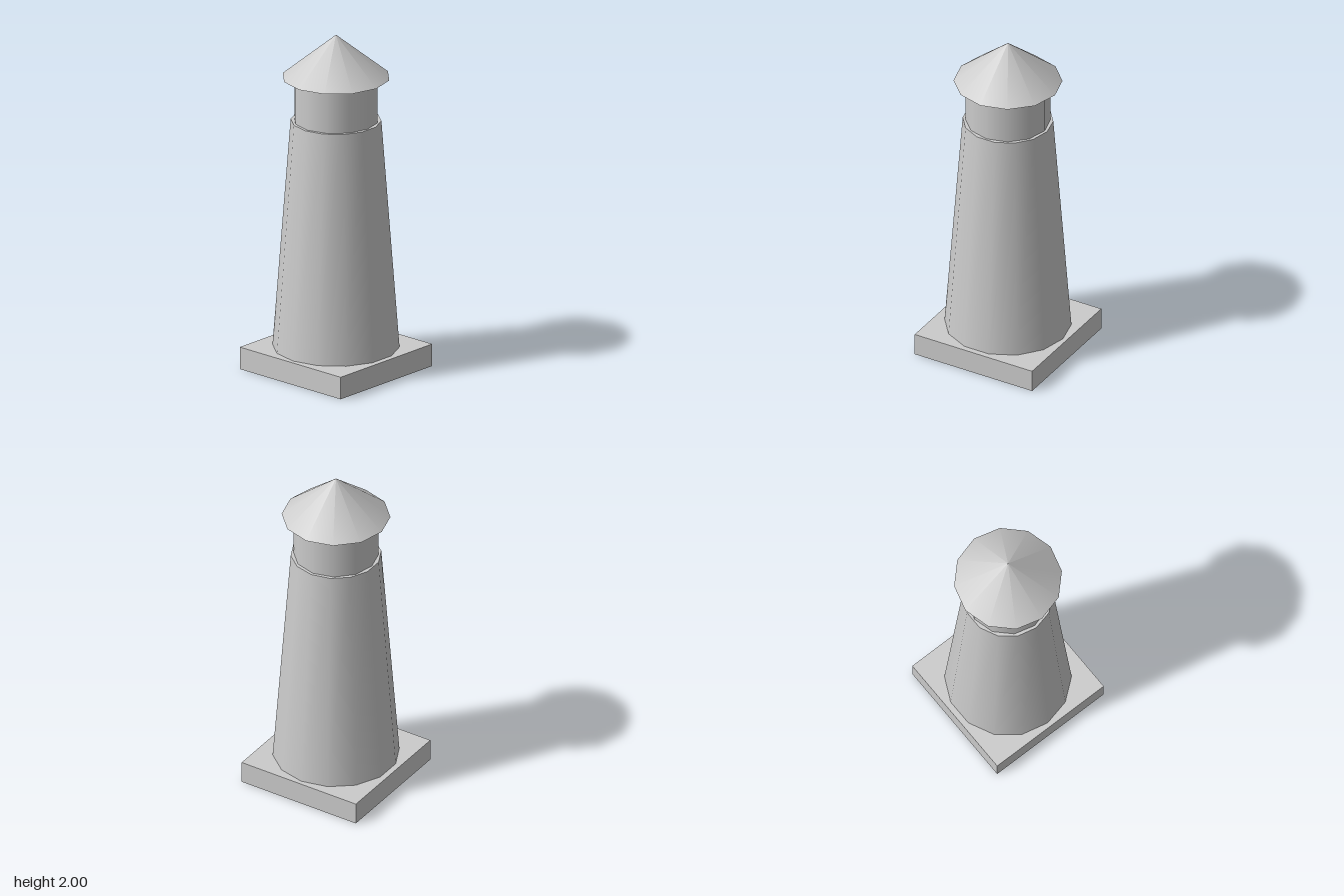
import * as THREE from 'three';

export function createModel() {
  const group = new THREE.Group();
  const material = new THREE.MeshStandardMaterial({ color: 0xcccccc });

  // Adds a part spanning the heights y0 to y1
  function add(name, geometry, y0, y1) {
    const mesh = new THREE.Mesh(geometry, material);
    mesh.name = name;
    mesh.position.y = (y0 + y1) / 2;
    group.add(mesh);
  }

  // Heights where the parts meet
  const baseTop = 0.132, towerTop = 1.489, lanternTop = 1.748, tip = 2;

  // Square plinth
  add('base', new THREE.BoxGeometry(0.773, baseTop, 0.773), 0, baseTop);

  // Tapered tower with 14 sides
  add('tower', new THREE.CylinderGeometry(0.258, 0.361, towerTop - baseTop, 14), baseTop, towerTop);

  // Straight lantern room with 12 sides
  add('lanternRoom', new THREE.CylinderGeometry(0.242, 0.242, lanternTop - towerTop, 12), towerTop, lanternTop);

  // Overhanging pointed roof
  add('roof', new THREE.ConeGeometry(0.309, tip - lanternTop, 12), lanternTop, tip);

  return group;
}
